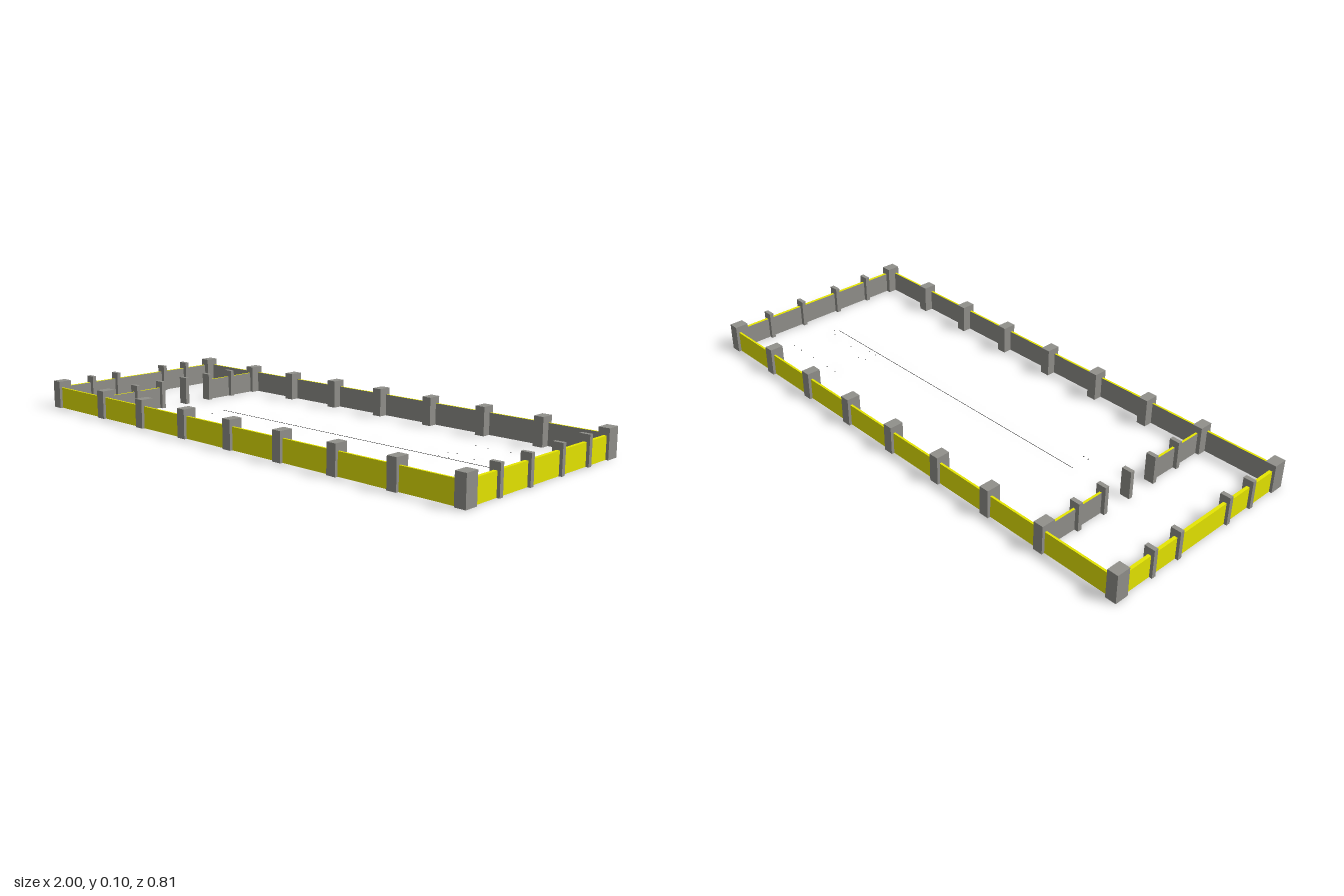
import * as THREE from 'three';

export function createModel() {
  const model = new THREE.Group();
  model.name = 'fencedYard';

  const yellow = new THREE.MeshStandardMaterial({ color: 0xe7e700 });
  yellow.name = 'yellow paint';
  const grey = new THREE.MeshStandardMaterial({ color: 0x91908b, side: THREE.DoubleSide });
  grey.name = 'grey concrete';
  const black = new THREE.MeshStandardMaterial({ color: 0x101010 });
  black.name = 'black marking';

  const POST_H = 0.105, WALL_H = 0.08, MARK_H = 0.001;
  const X = 0.983, Z = 0.391, SLIM_X = 0.981, INNER_X = -0.688;

  // Place a geometry centred on its own height so that it stands on the ground
  function place(name, geometry, h, x, z, material) {
    const mesh = new THREE.Mesh(geometry, material);
    mesh.name = name;
    mesh.position.set(x, h / 2, z);
    model.add(mesh);
  }

  // Grey wall with a yellow top and an optional yellow outer face
  // (face order: +x, -x, +y, -y, +z, -z)
  function wall(name, w, d, x, z, outerFace) {
    const faces = [grey, grey, yellow, grey, grey, grey];
    if (outerFace !== undefined) faces[outerFace] = yellow;
    place(name, new THREE.BoxGeometry(w, WALL_H, d), WALL_H, x, z, faces);
  }

  // Hollow post, open underneath: the six indices of the -y face are dropped
  function post(name, w, d, x, z) {
    const geometry = new THREE.BoxGeometry(w, POST_H, d);
    const index = Array.from(geometry.index.array);
    index.splice(18, 6);
    geometry.setIndex(index);
    geometry.clearGroups();
    place(name, geometry, POST_H, x, z, grey);
  }

  // Outer walls
  wall('frontWall', 2 * X, 0.008, 0, Z, 4);
  wall('backWall', 2 * X, 0.008, 0, -Z, 5);
  wall('leftWall', 0.012, 2 * Z, X, 0, 0);
  wall('rightWall', 0.012, 2 * Z, -X, 0, 1);

  // Heavy posts along both long walls, wider at the corners
  for (const side of [-1, 1]) {
    for (const x of [INNER_X, -0.452, -0.214, 0.023, 0.261, 0.498, 0.736]) {
      post('longWallPost', 0.037, 0.052, x, side * 0.38);
    }
    for (const end of [-1, 1]) post('cornerPost', 0.04, 0.052, end * 0.979, side * 0.38);
  }

  // Slim posts on the end walls and the inner partition
  function slimPosts(name, x, zs) {
    for (const z of zs) post(name, 0.038, 0.016, x, z);
  }
  slimPosts('leftWallPost', SLIM_X, [-0.24, -0.085, 0.085, 0.24]);
  slimPosts('rightWallPost', -SLIM_X, [-0.24, -0.12, 0.12, 0.24]);
  slimPosts('partitionPost', INNER_X, [-0.24, -0.12, 0, 0.12, 0.24]);

  // Two partition walls with a central opening
  for (const side of [-1, 1]) {
    wall('partitionWall', 0.009, Z - 0.12, INNER_X, side * (Z + 0.12) / 2);
  }

  // Fine line and scattered dots marked on the ground
  function mark(name, w, d, x, z) {
    place(name, new THREE.BoxGeometry(w, MARK_H, d), MARK_H, x, z, black);
  }
  mark('groundLine', 1.3, 0.001, 0.18, -0.015);
  const dots = [
    [0.58, -0.22], [0.63, -0.22], [0.72, -0.22], [0.8, -0.22], [0.85, -0.22],
    [0.57, -0.08], [0.6, -0.09], [0.57, -0.03], [0.61, -0.03],
    [0.69, -0.06], [0.81, -0.05], [0.84, -0.03], [-0.47, 0.06], [-0.45, 0.06],
  ];
  for (const [x, z] of dots) mark('groundDot', 0.003, 0.003, x, z);

  return model;
}
